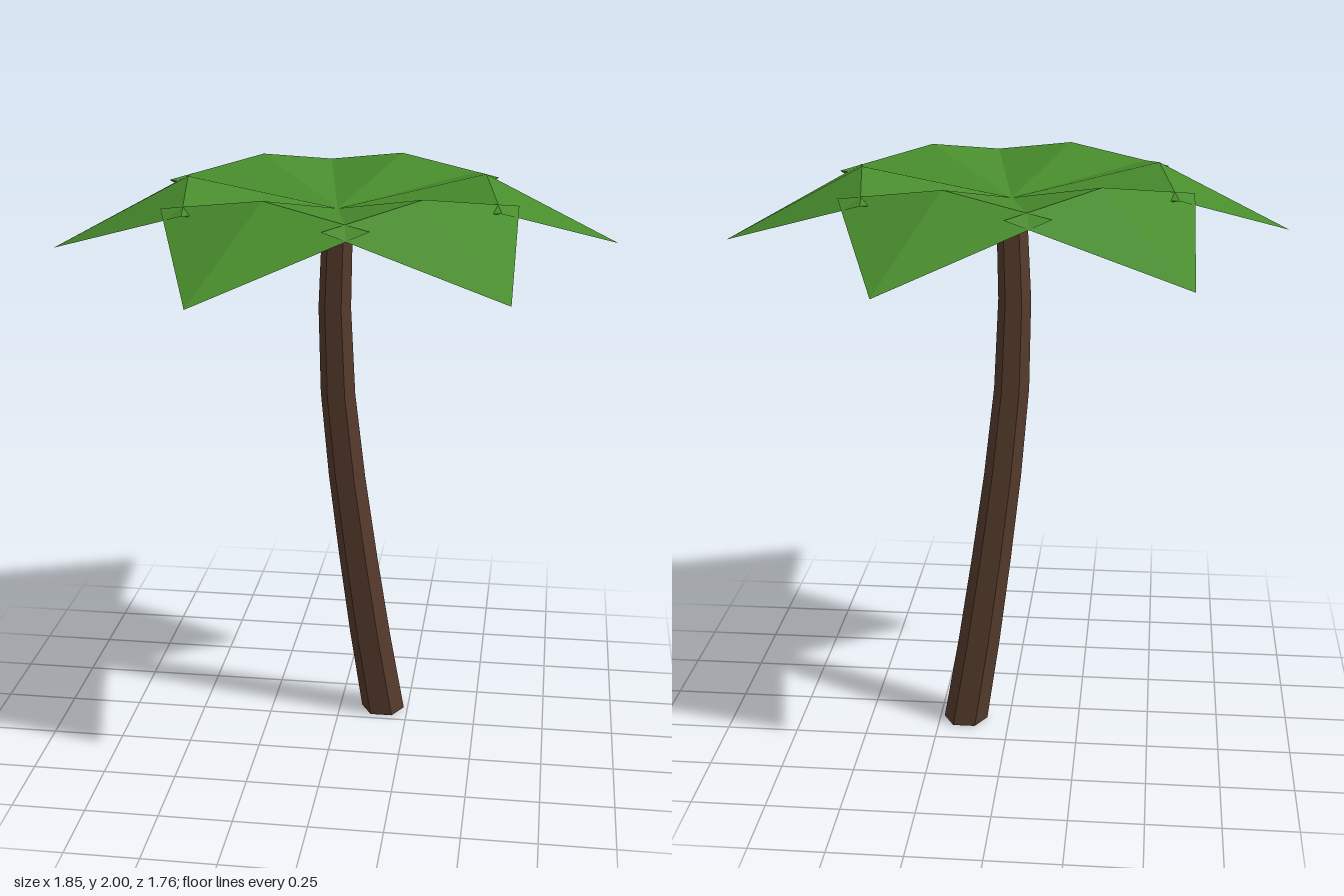
import * as THREE from 'three';

const leafGreen = new THREE.MeshStandardMaterial({ color: 0x488c2c, side: THREE.DoubleSide, flatShading: true });
leafGreen.name = 'leafGreen';
const barkBrown = new THREE.MeshStandardMaterial({ color: 0x553b2c, side: THREE.DoubleSide, flatShading: true });
barkBrown.name = 'barkBrown';

// Six-sided tapering open tube, bent by shifting each ring along a curve
function makeTrunk() {
  const height = 1.86, rings = 6;
  const bendX = [0.158, 0.109, 0.066, 0.027, -0.003, -0.012, 0];
  const geo = new THREE.CylinderGeometry(0.051, 0.078, height, 6, rings, true, Math.PI / 6);
  geo.translate(0, height / 2, 0);
  const p = geo.attributes.position;
  for (let i = 0; i < p.count; i++) {
    const t = p.getY(i) / height;
    p.setX(i, p.getX(i) + bendX[Math.round(t * rings)]);
    p.setZ(i, p.getZ(i) - 0.095 * (1 - t));
  }
  geo.computeVertexNormals();
  const trunk = new THREE.Mesh(geo, barkBrown);
  trunk.name = 'trunk';
  return trunk;
}

// Solid diamond frond: ridged top that rises then droops, two flat faces beneath
function makeFrondGeometry() {
  const corners = [
    [0, 1.89, 0],         // 0 crown, top
    [0.489, 2, 0],        // 1 ridge middle
    [0.939, 1.766, 0],    // 2 tip
    [0.494, 1.943, 0.368],  // 3 side
    [0.494, 1.943, -0.368], // 4 other side
    [0, 1.83, 0]          // 5 crown, underside
  ];
  const faces = [
    0, 3, 1, 1, 3, 2, 0, 1, 4, 1, 2, 4, // top
    5, 4, 3, 3, 4, 2,                   // underside
    0, 5, 3, 0, 4, 5                    // inner edges
  ];
  const geo = new THREE.BufferGeometry();
  geo.setAttribute('position', new THREE.Float32BufferAttribute(faces.flatMap((i) => corners[i]), 3));
  geo.computeVertexNormals();
  return geo;
}

export function createModel() {
  const tree = new THREE.Group();
  tree.name = 'palmTree';
  tree.add(makeTrunk());

  // Ring of six overlapping fronds
  const crown = new THREE.Group();
  crown.name = 'crown';
  const frondGeo = makeFrondGeometry();
  for (let i = 0; i < 6; i++) {
    const frond = new THREE.Mesh(frondGeo, leafGreen);
    frond.name = `frond${i + 1}`;
    frond.rotation.y = THREE.MathUtils.degToRad(9.7 + i * 60);
    crown.add(frond);
  }
  tree.add(crown);
  return tree;
}
